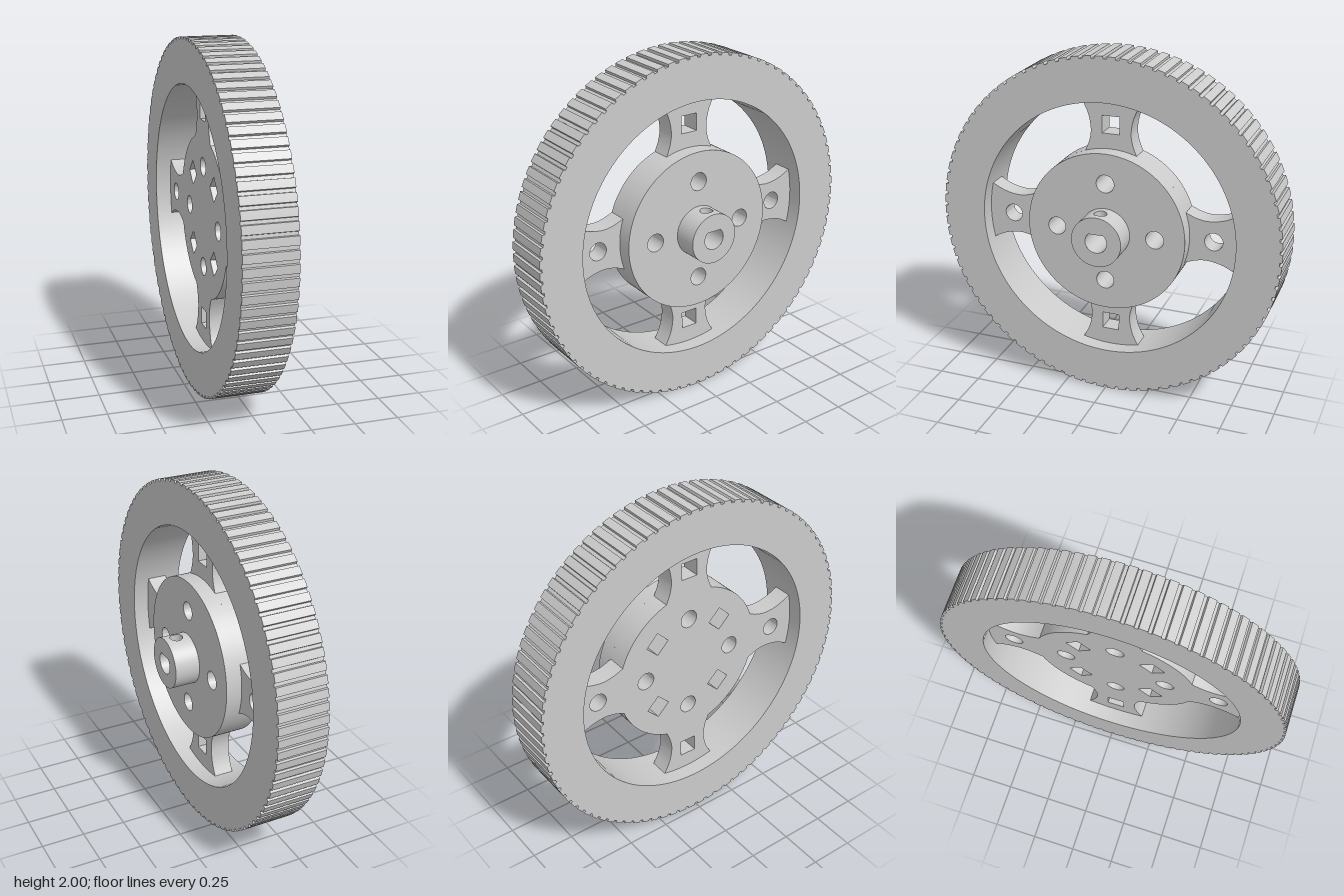
import * as THREE from 'three';
import { toCreasedNormals } from 'three/addons/utils/BufferGeometryUtils.js';
import { ParametricGeometry } from 'three/addons/geometries/ParametricGeometry.js';

const TEETH = 90;
const RIM_BACK = -0.22, RIM_FRONT = 0.072;
const PLATE_BACK = -0.13, PLATE_FRONT = -0.018;
const HUB_R = 0.463;
const BOSS_R = 0.145, BOSS_END = 0.215;
const BORE_R = 0.063, FLAT_Y = 0.045;
const SCREW_R = 0.036;

const material = new THREE.MeshStandardMaterial({ color: 0xcccccc });
const thin = new THREE.MeshStandardMaterial({ color: 0xcccccc, side: THREE.DoubleSide });

function circleHole(x, y, r) {
  return new THREE.Path().absarc(x, y, r, 0, Math.PI * 2, true);
}

// Square hole centred at polar (radius, angle), turned to face the axle
function squareHole(radius, angle, size) {
  const pts = [[-1, -1], [-1, 1], [1, 1], [1, -1]].map(([a, b]) =>
    new THREE.Vector2(radius + a * size / 2, b * size / 2).rotateAround(new THREE.Vector2(), angle));
  return new THREE.Path(pts);
}

// D-shaped outline of the shaft bore, flat on top
function boreHole() {
  const a = Math.asin(FLAT_Y / BORE_R);
  const path = new THREE.Path().absarc(0, 0, BORE_R, a, Math.PI - a, true);
  path.closePath();
  return path;
}

function slab(name, shape, back, front) {
  const geo = new THREE.ExtrudeGeometry(shape, { depth: front - back, bevelEnabled: false, curveSegments: 72 });
  geo.translate(0, 0, back);
  const mesh = new THREE.Mesh(toCreasedNormals(geo, 0.5), material);
  mesh.name = name;
  return mesh;
}

// Toothed rim: circle with narrow grooves across the tread
function rimShape() {
  const pts = [], step = Math.PI * 2 / TEETH, depth = 0.014;
  const add = (r, a) => pts.push(new THREE.Vector2(r * Math.cos(a), r * Math.sin(a)));
  for (let i = 0; i < TEETH; i++) {
    const a = (i + 0.5) * step;
    add(1, a - 0.012);
    add(1 - depth, a - 0.009);
    add(1 - depth, a + 0.009);
    add(1, a + 0.012);
    add(1, a + step / 2);
  }
  const shape = new THREE.Shape(pts);
  shape.holes.push(circleHole(0, 0, 0.747));
  return shape;
}

// Four waisted spokes joined to a round centre
function spokeShape() {
  const side = new THREE.SplineCurve([[0.755, 0.184], [0.66, 0.135], [0.57, 0.117], [0.5, 0.126], [0.438, 0.15]]
    .map(([x, y]) => new THREE.Vector2(x, y))).getPoints(20);
  const tip = Math.atan2(0.184, 0.755), root = Math.atan2(0.15, 0.438), tipR = Math.hypot(0.184, 0.755);
  const pts = [], origin = new THREE.Vector2();
  for (let q = 0; q < 4; q++) {
    const turn = q * Math.PI / 2;
    const put = (x, y) => pts.push(new THREE.Vector2(x, y).rotateAround(origin, turn));
    for (let i = side.length - 1; i >= 0; i--) put(side[i].x, -side[i].y);
    for (let i = 1; i < 8; i++) {
      const a = tip * (i / 4 - 1);
      put(tipR * Math.cos(a), tipR * Math.sin(a));
    }
    side.forEach(p => put(p.x, p.y));
    for (let i = 1; i < 16; i++) {
      const a = root + (Math.PI / 2 - 2 * root) * i / 16;
      put(HUB_R * Math.cos(a), HUB_R * Math.sin(a));
    }
  }
  const shape = new THREE.Shape(pts);
  for (let q = 0; q < 4; q++) {
    const a = q * Math.PI / 2, c = Math.cos(a), s = Math.sin(a);
    shape.holes.push(circleHole(0.29 * c, 0.29 * s, 0.052));
    shape.holes.push(squareHole(0.297, a + Math.PI / 4, 0.1));
    shape.holes.push(q % 2 ? squareHole(0.6, a, 0.1) : circleHole(0.6 * c, 0.6 * s, 0.052));
  }
  return shape;
}

// Solid front of the hub, closing the square pockets behind it
function hubShape() {
  const shape = new THREE.Shape().absarc(0, 0, HUB_R, 0, Math.PI * 2);
  for (let q = 0; q < 4; q++) {
    const a = q * Math.PI / 2;
    shape.holes.push(circleHole(0.29 * Math.cos(a), 0.29 * Math.sin(a), 0.052));
  }
  shape.holes.push(boreHole());
  return shape;
}

// Shaft collar with a D bore and a set screw hole in its top
function makeBoss() {
  const boss = new THREE.Group();
  boss.name = 'shaftCollar';
  const length = BOSS_END - RIM_FRONT, half = length / 2, mid = RIM_FRONT + half;
  const add = (name, geo) => {
    const mesh = new THREE.Mesh(geo, thin);
    mesh.name = name;
    boss.add(mesh);
    return mesh;
  };
  const arc = (r, from, to) => new ParametricGeometry((u, v, p) => {
    const a = from + (to - from) * u;
    p.set(r * Math.cos(a), r * Math.sin(a), RIM_FRONT + v * length);
  }, 64, 1);
  const gap = Math.asin(half / BOSS_R), flat = Math.asin(FLAT_Y / BORE_R);
  add('collarWall', arc(BOSS_R, Math.PI / 2 + gap, Math.PI * 2.5 - gap));
  add('boreWall', arc(BORE_R, flat, -Math.PI - flat));

  // Curved top patch running from the screw hole out to a square
  const height = x => Math.sqrt(BOSS_R * BOSS_R - x * x);
  add('collarTop', new ParametricGeometry((u, v, p) => {
    const c = Math.cos(u * Math.PI * 2), s = Math.sin(u * Math.PI * 2);
    const r = THREE.MathUtils.lerp(SCREW_R, half / Math.max(Math.abs(c), Math.abs(s)), v);
    p.set(r * c, height(r * c), mid + r * s);
  }, 48, 6));
  add('screwHole', new ParametricGeometry((u, v, p) => {
    const x = SCREW_R * Math.cos(u * Math.PI * 2);
    p.set(x, THREE.MathUtils.lerp(FLAT_Y, height(x), v), mid + SCREW_R * Math.sin(u * Math.PI * 2));
  }, 48, 1));

  // Flat of the bore, pierced by the screw hole
  const w = BORE_R * Math.cos(flat);
  const flatShape = new THREE.Shape([[-w, RIM_FRONT], [w, RIM_FRONT], [w, BOSS_END], [-w, BOSS_END]]
    .map(([x, y]) => new THREE.Vector2(x, y)));
  flatShape.holes.push(circleHole(0, mid, SCREW_R));
  add('boreFlat', new THREE.ShapeGeometry(flatShape, 48).rotateX(Math.PI / 2)).position.y = FLAT_Y;

  const face = new THREE.Shape().absarc(0, 0, BOSS_R, 0, Math.PI * 2);
  face.holes.push(boreHole());
  add('collarFace', new THREE.ShapeGeometry(face, 64)).position.z = BOSS_END;
  return boss;
}

export function createModel() {
  const root = new THREE.Group();
  root.name = 'toothedWheel';
  // Parts are built along z, then the axle is turned to x
  const wheel = new THREE.Group();
  wheel.name = 'wheel';
  wheel.add(
    slab('rim', rimShape(), RIM_BACK, RIM_FRONT),
    slab('spokePlate', spokeShape(), PLATE_BACK, PLATE_FRONT),
    slab('hub', hubShape(), PLATE_FRONT, RIM_FRONT),
    makeBoss()
  );
  wheel.rotation.y = Math.PI / 2;
  wheel.position.y = 1;
  root.add(wheel);
  return root;
}
